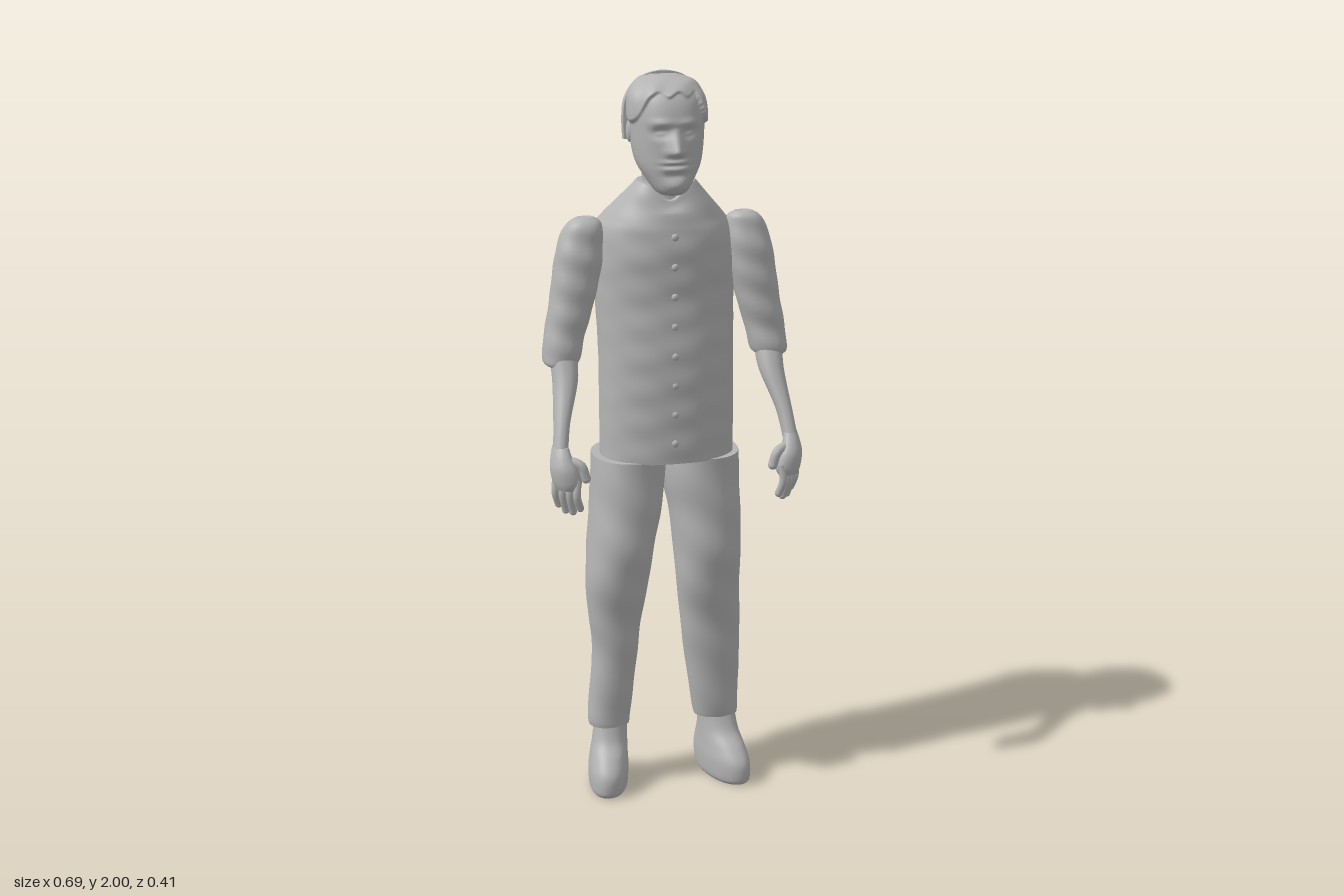
import * as THREE from 'three';

const grey = new THREE.MeshStandardMaterial({ color: 0xb4b4b4 });
grey.name = 'plain grey';

// Catmull-Rom value between b and c
const spline = (a, b, c, d, t) =>
  b + 0.5 * t * (c - a + t * (2 * a - 5 * b + 4 * c - d + t * (3 * (b - c) + d - a)));
const bump = (d, w) => Math.exp(-(d * d) / (w * w));

// Smooth body through horizontal oval sections, bottom to top: [y, xMin, xMax, zBack, zFront]
function loft(rows, { sides = 40, steps = 6, power = 2.2, yaw = 0, deform } = {}) {
  const pos = [], index = [], rings = (rows.length - 1) * steps + 1;
  const row = k => rows[Math.min(Math.max(k, 0), rows.length - 1)];
  const v = new THREE.Vector3();
  for (let i = 0; i < rings; i++) {
    const k = Math.min(Math.floor(i / steps), rows.length - 2), t = i / steps - k;
    const [y, x0, x1, z0, z1] = [0, 1, 2, 3, 4].map(c =>
      spline(row(k - 1)[c], row(k)[c], row(k + 1)[c], row(k + 2)[c], t));
    for (let j = 0; j < sides; j++) {
      const a = (j / sides) * Math.PI * 2, c = Math.cos(a), s = Math.sin(a);
      const ox = Math.sign(c) * Math.abs(c) ** (2 / power) * (x1 - x0) / 2;
      const oz = Math.sign(s) * Math.abs(s) ** (2 / power) * (z1 - z0) / 2;
      v.set((x0 + x1) / 2 + ox + oz * yaw, y, (z0 + z1) / 2 + oz);
      if (deform) deform(v);
      pos.push(v.x, v.y, v.z);
    }
  }
  for (let i = 0; i < rings - 1; i++) for (let j = 0; j < sides; j++) {
    const a = i * sides + j, b = i * sides + (j + 1) % sides;
    index.push(a, a + sides, b, b, a + sides, b + sides);
  }
  // Flat ends with their own corners, so the rims stay sharp
  for (const [ring, top] of [[0, false], [rings - 1, true]]) {
    const base = pos.length / 3, mid = [0, 0, 0];
    for (let j = 0; j < sides; j++) for (let c = 0; c < 3; c++) {
      const p = pos[(ring * sides + j) * 3 + c];
      mid[c] += p / sides;
      pos.push(p);
    }
    pos.push(...mid);
    for (let j = 0; j < sides; j++) {
      const a = base + j, b = base + (j + 1) % sides;
      index.push(base + sides, top ? b : a, top ? a : b);
    }
  }
  const g = new THREE.BufferGeometry();
  g.setAttribute('position', new THREE.Float32BufferAttribute(pos, 3));
  g.setIndex(index);
  g.computeVertexNormals();
  return g;
}

const mirrorRows = (rows, s) =>
  s > 0 ? rows : rows.map(([y, x0, x1, z0, z1]) => [y, -x1, -x0, z0, z1]);

function add(parent, name, geometry) {
  const m = new THREE.Mesh(geometry, grey);
  m.name = name;
  parent.add(m);
  return m;
}

const TORSO = [
  [0.962, -0.172, 0.195, -0.15, 0.113], [1.1, -0.172, 0.195, -0.157, 0.115],
  [1.25, -0.172, 0.195, -0.167, 0.115], [1.4, -0.178, 0.197, -0.178, 0.107],
  [1.52, -0.18, 0.198, -0.193, 0.11], [1.585, -0.175, 0.19, -0.204, 0.106],
  [1.62, -0.155, 0.167, -0.17, 0.098], [1.67, -0.115, 0.122, -0.105, 0.085],
  [1.72, -0.075, 0.08, -0.05, 0.073]];
const LEFT_LEG = [
  [0.18, 0.09, 0.212, -0.055, 0.045], [0.22, 0.082, 0.214, -0.057, 0.05],
  [0.4, 0.056, 0.216, -0.062, 0.065], [0.5, 0.045, 0.214, -0.062, 0.075],
  [0.6, 0.034, 0.21, -0.07, 0.095], [0.7, 0.028, 0.214, -0.105, 0.11],
  [0.8, 0.018, 0.214, -0.125, 0.107], [0.88, 0.002, 0.212, -0.135, 0.103],
  [0.965, 0.0, 0.21, -0.142, 0.1]];
const RIGHT_LEG = [
  [0.18, -0.215, -0.1, -0.055, 0.045], [0.22, -0.217, -0.097, -0.057, 0.05],
  [0.4, -0.204, -0.078, -0.062, 0.065], [0.5, -0.214, -0.068, -0.062, 0.075],
  [0.6, -0.222, -0.05, -0.07, 0.095], [0.7, -0.216, -0.034, -0.105, 0.11],
  [0.8, -0.206, -0.012, -0.125, 0.107], [0.88, -0.2, 0.0, -0.135, 0.103],
  [0.965, -0.195, 0.005, -0.142, 0.1]];
const FOOT = [
  [0.0, 0.12, 0.216, -0.07, 0.118], [0.015, 0.112, 0.222, -0.083, 0.128],
  [0.06, 0.108, 0.222, -0.09, 0.126], [0.1, 0.108, 0.215, -0.08, 0.098],
  [0.14, 0.107, 0.207, -0.06, 0.06], [0.2, 0.107, 0.2, -0.046, 0.038]];
const SLEEVE = [
  [1.235, 0.25, 0.325, -0.02, 0.068], [1.25, 0.236, 0.335, -0.035, 0.077],
  [1.31, 0.222, 0.33, -0.042, 0.073], [1.4, 0.195, 0.314, -0.046, 0.072],
  [1.5, 0.172, 0.3, -0.05, 0.068], [1.57, 0.168, 0.284, -0.045, 0.058],
  [1.61, 0.172, 0.262, -0.03, 0.045], [1.625, 0.19, 0.24, -0.012, 0.028]];
const FOREARM = [
  [1.02, 0.296, 0.335, 0.125, 0.178], [1.1, 0.283, 0.326, 0.085, 0.148],
  [1.2, 0.25, 0.317, 0.02, 0.102], [1.27, 0.245, 0.32, -0.01, 0.07]];
const PALM = [
  [0.935, 0.275, 0.33, 0.14, 0.2], [0.955, 0.267, 0.338, 0.133, 0.206],
  [0.99, 0.276, 0.343, 0.13, 0.204], [1.02, 0.29, 0.339, 0.126, 0.19],
  [1.045, 0.296, 0.333, 0.12, 0.172]];
const HEAD = [
  [1.693, -0.03, 0.026, 0.05, 0.122], [1.705, -0.046, 0.042, 0.025, 0.144],
  [1.735, -0.066, 0.062, -0.01, 0.15], [1.77, -0.085, 0.081, -0.04, 0.149],
  [1.81, -0.094, 0.09, -0.06, 0.148], [1.86, -0.098, 0.094, -0.07, 0.148],
  [1.91, -0.1, 0.096, -0.075, 0.142], [1.95, -0.094, 0.09, -0.07, 0.124],
  [1.98, -0.07, 0.066, -0.06, 0.09], [1.993, -0.035, 0.03, -0.035, 0.045]];
const NECK = [
  [1.62, -0.065, 0.065, -0.045, 0.075], [1.69, -0.06, 0.06, -0.045, 0.068],
  [1.76, -0.062, 0.06, -0.045, 0.06], [1.84, -0.07, 0.068, -0.05, 0.06]];
const HAIR = [
  [1.825, -0.108, 0.106, -0.111, 0.1], [1.88, -0.11, 0.108, -0.112, 0.1],
  [1.93, -0.104, 0.102, -0.104, 0.095], [1.97, -0.08, 0.078, -0.08, 0.075],
  [1.992, -0.048, 0.046, -0.045, 0.05], [2.0, -0.015, 0.013, -0.018, 0.02]];

// Nose, eye sockets, brow, lips and the raised fringe
function sculptFace(p) {
  const x = p.x + 0.003, { y } = p;
  if (p.z > 0.03) {
    const slope = THREE.MathUtils.clamp((1.87 - y) / 0.055, 0, 1);
    const under = THREE.MathUtils.smoothstep(y, 1.79, 1.812);
    p.z += 0.034 * slope * under * bump(x, 0.012 + 0.009 * slope);
    for (const s of [-1, 1]) {
      p.z -= 0.013 * bump(x - s * 0.037, 0.022) * bump(y - 1.858, 0.013);
      p.z += 0.006 * bump(x - s * 0.037, 0.014) * bump(y - 1.856, 0.006);
      p.z += 0.006 * bump(x - s * 0.036, 0.028) * bump(y - 1.884, 0.01);
    }
    const mouth = bump(x, 0.03);
    p.z += mouth * (0.009 * bump(y - 1.784, 0.007) + 0.008 * bump(y - 1.766, 0.008));
    p.z -= mouth * (0.005 * bump(y - 1.775, 0.004) + 0.006 * bump(y - 1.748, 0.01));
    p.z += 0.006 * bump(x, 0.03) * bump(y - 1.722, 0.014);
  }
  const line = 1.952 - 0.075 * THREE.MathUtils.smoothstep(Math.abs(x), 0.055, 0.095)
    + 0.006 * Math.sin(x * 130);
  const fringe = THREE.MathUtils.smoothstep(y, line - 0.004, line + 0.006);
  const lift = fringe * (0.07 + 0.025 * Math.sin(x * 90 + p.z * 60));
  p.x += p.x * lift;
  p.z += p.z * lift;
}

// Soft cloth folds, and a collar dipping at the throat
function foldShirt(p) {
  p.z += 0.002 * Math.sin(p.y * 70 + p.x * 14) * Math.sin(p.x * 30 + 1);
  if (p.y > 1.64 && p.z > 0) p.y -= 0.05 * bump(p.x, 0.045) * (p.y - 1.64) / 0.08;
}
const foldSleeve = p => { p.z += 0.003 * Math.sin(p.y * 75 + p.x * 25); };
const foldTrouser = p => { p.z += 0.0025 * Math.sin(p.y * 42 + p.x * 30); };

// Rounded finger along a few points
function finger(parent, name, points, radius, s) {
  const path = points.map(([x, y, z]) => new THREE.Vector3(x * s, y, z));
  add(parent, name, new THREE.TubeGeometry(new THREE.CatmullRomCurve3(path), 10, radius, 10));
  add(parent, name + 'Tip', new THREE.SphereGeometry(radius, 10, 8))
    .position.copy(path[path.length - 1]);
}

export function createModel() {
  const figure = new THREE.Group();
  figure.name = 'standingMan';

  add(figure, 'shirt', loft(TORSO, { sides: 64, steps: 10, deform: foldShirt }));
  for (let i = 0; i < 8; i++) {
    const button = add(figure, 'button', new THREE.SphereGeometry(0.01, 10, 8));
    button.position.set(0.005, 1.02 + i * 0.08, i < 4 ? 0.114 : 0.108);
    button.scale.z = 0.6;
  }

  // Head, neck and the cap of hair behind
  const head = new THREE.Group();
  head.name = 'head';
  figure.add(head);
  add(head, 'neck', loft(NECK));
  add(head, 'face', loft(HEAD, { sides: 128, steps: 12, deform: sculptFace }));
  add(head, 'backHair', loft(HAIR, {
    sides: 64, power: 2, deform: p => { p.z = Math.min(p.z, 0.002); } }));

  for (const s of [1, -1]) {
    const side = s > 0 ? 'left' : 'right';
    const ear = add(head, side + 'Ear', new THREE.SphereGeometry(1, 14, 10));
    ear.position.set(s * 0.094 - 0.002, 1.85, 0.018);
    ear.scale.set(0.009, 0.03, 0.018);

    // Arm with rolled sleeve and relaxed hand
    const arm = new THREE.Group();
    arm.name = side + 'Arm';
    figure.add(arm);
    add(arm, 'sleeve', loft(mirrorRows(SLEEVE, s), { deform: foldSleeve }));
    add(arm, 'forearm', loft(mirrorRows(FOREARM, s)));
    add(arm, 'palm', loft(mirrorRows(PALM, s), { sides: 24, yaw: -0.25 * s }));
    for (let i = 0; i < 4; i++) {
      const x = 0.278 + i * 0.016, z = 0.194 - i * 0.017, end = [0.885, 0.872, 0.872, 0.885][i];
      finger(arm, 'finger', [[x, 0.965, z], [x + 0.004, 0.92, z + 0.004], [x - 0.006, end, z - 0.004]], 0.0105, s);
    }
    finger(arm, 'thumb', [[0.31, 1.015, 0.165], [0.268, 1.0, 0.186], [0.255, 0.965, 0.188]], 0.013, s);

    // Trouser leg and shoe, toes turned out
    const leg = new THREE.Group();
    leg.name = side + 'Leg';
    figure.add(leg);
    add(leg, 'trouserLeg', loft(s > 0 ? LEFT_LEG : RIGHT_LEG, { deform: foldTrouser }));
    add(leg, 'shoe', loft(mirrorRows(FOOT, s), { yaw: s > 0 ? 0.26 : -0.14 }));
  }
  return figure;
}
